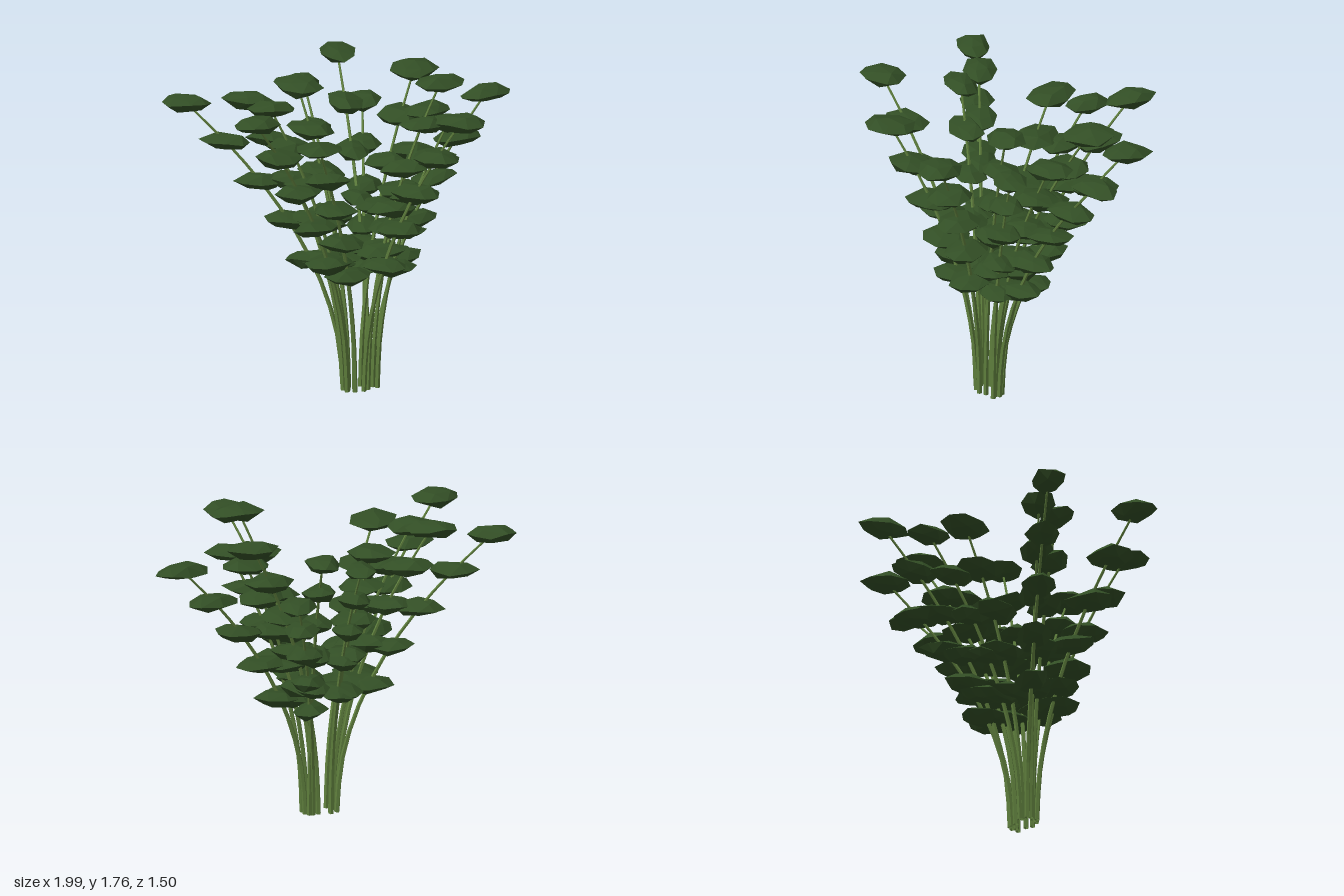
import * as THREE from 'three';
import { ConvexGeometry } from 'three/addons/geometries/ConvexGeometry.js';

// Stems: base x, base z, tip x, tip y, tip z, leaf length, leaf width
const STEMS = [
  [-0.045, 0.15, -0.86, 1.62, -0.09, 0.28, 0.19],
  [-0.04, 0.21, -0.65, 1.645, 0.52, 0.28, 0.23],
  [0, 0.225, -0.32, 1.5, 0.6, 0.28, 0.25],
  [0.05, 0.225, 0.48, 1.59, 0.62, 0.28, 0.24],
  [0.13, 0.14, 0.85, 1.51, -0.13, 0.31, 0.2],
  [0.06, 0.13, 0.48, 1.65, -0.24, 0.29, 0.26],
  [0.11, 0.12, 0.16, 1.67, -0.61, 0.28, 0.19],
  [0.08, 0.2, 0.48, 1.71, 0.24, 0.28, 0.2],
  [0.14, 0.18, 0.53, 1.48, 0.23, 0.28, 0.19],
  [0.12, 0.16, 0.48, 1.48, -0.01, 0.27, 0.24],
  [0.09, 0.12, 0.28, 1.41, -0.54, 0.28, 0.2],
  [-0.01, 0.125, -0.08, 1.565, -0.45, 0.25, 0.18],
  [-0.01, 0.14, -0.17, 1.6, -0.27, 0.29, 0.25],
  [-0.05, 0.17, -0.54, 1.635, 0, 0.28, 0.19],
  [-0.03, 0.19, -0.45, 1.61, 0.14, 0.28, 0.18],
];
const LEAVES = 5, LOWEST = 0.455;

let seed = 11;
const rand = () => (seed = (seed * 16807) % 2147483647) / 2147483647;
const jitter = (a) => (rand() * 2 - 1) * a;

// Upright at the foot, leaning further outward with height
function stemPoint([bx, bz, tx, ty, tz], t) {
  const k = t * t;
  return new THREE.Vector3(bx + (tx - bx) * k, ty * t, bz + (tz - bz) * k);
}

// Tapered five-sided tube
function stemGeometry(stem) {
  const pts = [];
  for (let i = 0; i <= 6; i++) pts.push(stemPoint(stem, i / 6));
  const curve = new THREE.CatmullRomCurve3(pts);
  const rows = 12, sides = 5;
  const geo = new THREE.TubeGeometry(curve, rows, 0.015, sides, false);
  const pos = geo.attributes.position;
  const v = new THREE.Vector3();
  for (let r = 0; r <= rows; r++) {
    const c = curve.getPointAt(r / rows);
    for (let s = 0; s <= sides; s++) {
      const i = r * (sides + 1) + s;
      v.fromBufferAttribute(pos, i).sub(c).multiplyScalar(1 - 0.6 * r / rows).add(c);
      pos.setXYZ(i, v.x, v.y, v.z);
    }
  }
  return geo;
}

// Flat faceted leaf, longest along x: rings of [radius, height, corners]
function leafGeometry(length, width, height) {
  const pts = [];
  const rings = [[0.6, 0.38, 5], [1, 0.02, 8], [0.62, -0.38, 5]];
  rings.forEach(([r, y, n], k) => {
    for (let i = 0; i < n; i++) {
      const a = (i / n) * Math.PI * 2 + k * 0.4 - 0.4 + jitter(0.12);
      const q = r * (1 + jitter(0.07));
      pts.push(new THREE.Vector3(
        Math.cos(a) * q * length / 2, (y + jitter(0.14)) * height, Math.sin(a) * q * width / 2));
    }
  });
  pts.push(new THREE.Vector3(0.04 * length, 0.5 * height, 0));
  pts.push(new THREE.Vector3(0, -0.5 * height, 0));
  return new ConvexGeometry(pts);
}

export function createModel() {
  const group = new THREE.Group();
  group.name = 'leafyPlant';
  const stemMat = new THREE.MeshStandardMaterial({
    color: 0x5f7f3d, flatShading: true, side: THREE.DoubleSide });
  const leafMat = new THREE.MeshStandardMaterial({ color: 0x324e25, flatShading: true });

  STEMS.forEach((stem) => {
    const branch = new THREE.Group();
    branch.name = 'branch';
    const stalk = new THREE.Mesh(stemGeometry(stem), stemMat);
    stalk.name = 'stem';
    branch.add(stalk);

    // Leaves threaded on the stem from low down to the tip
    const [bx, bz, tx, , tz, length, width] = stem;
    const heading = Math.atan2(-(tz - bz), tx - bx);
    for (let i = 0; i < LEAVES; i++) {
      const t = LOWEST + (1 - LOWEST) * i / (LEAVES - 1);
      const leaf = new THREE.Mesh(leafGeometry(length, width, 0.09), leafMat);
      leaf.name = 'leaf';
      leaf.position.copy(stemPoint(stem, t));
      leaf.rotation.set(jitter(0.05), heading + jitter(0.15), 0.04 + jitter(0.05), 'YXZ');
      branch.add(leaf);
    }
    group.add(branch);
  });
  return group;
}
